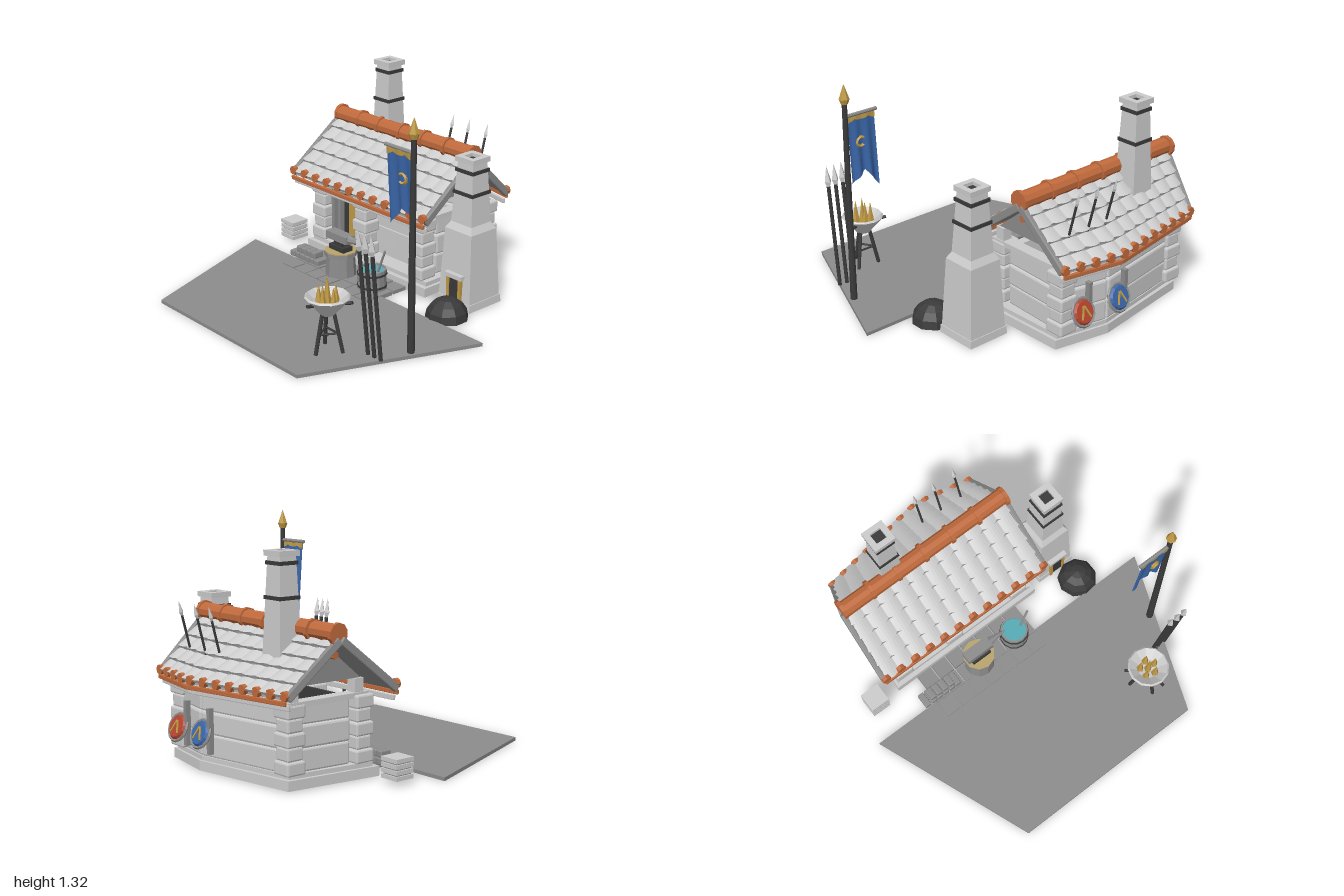
import * as THREE from 'three';
import { RoundedBoxGeometry } from 'three/addons/geometries/RoundedBoxGeometry.js';

const mat = (color) => new THREE.MeshStandardMaterial({ color, flatShading: true, side: THREE.DoubleSide });
const grey = mat(0xcccccc), stone = mat(0x8c8c8c), dark = mat(0x3a3a3a), orange = mat(0xc06a3c);
const gold = mat(0xc09a45), blue = mat(0x3a66a8), red = mat(0xb5452f), teal = mat(0x55aab5), tan = mat(0xb8a46c);
const V = (x, y, z) => new THREE.Vector3(x, y, z);
const lerp = THREE.MathUtils.lerp;

export function createModel() {
  const model = new THREE.Group();
  const add = (name, geo, m, x = 0, y = 0, z = 0, rx = 0, ry = 0, rz = 0) => {
    const mesh = new THREE.Mesh(geo, m);
    mesh.name = name;
    mesh.position.set(x, y, z);
    mesh.rotation.set(rx, ry, rz);
    model.add(mesh);
    return mesh;
  };
  const box = (name, m, x, y, z, w, h, d, ry = 0) => add(name, new THREE.BoxGeometry(w, h, d), m, x, y, z, 0, ry);
  const cyl = (name, m, x, y, z, r1, r0, h, n = 10) => add(name, new THREE.CylinderGeometry(r1, r0, h, n), m, x, y, z);
  // straight member between two points, square-cut or round
  const beam = (name, m, a, b, w, h) => {
    const mesh = add(name, new RoundedBoxGeometry(w, h, a.distanceTo(b), 1, Math.min(w, h) * 0.2), m);
    mesh.position.copy(a).lerp(b, 0.5);
    mesh.lookAt(b);
    return mesh;
  };
  const rod = (name, m, a, b, r0, r1 = r0, n = 8) => {
    const geo = new THREE.CylinderGeometry(r1, r0, a.distanceTo(b), n).rotateX(Math.PI / 2);
    const mesh = add(name, geo, m);
    mesh.position.copy(a).lerp(b, 0.5);
    mesh.lookAt(b);
    return mesh;
  };
  // plan outline (x, z) raised from y0 to y1
  const slab = (name, m, pts, y0, y1) => {
    const shape = new THREE.Shape(pts.map(([x, z]) => new THREE.Vector2(x, -z)));
    add(name, new THREE.ExtrudeGeometry(shape, { depth: y1 - y0, bevelEnabled: false }), m, 0, y0, 0, -Math.PI / 2);
  };
  // surface from a rule
  const grid = (fn, nu, nv) => {
    const pos = [], idx = [];
    for (let j = 0; j <= nv; j++) for (let i = 0; i <= nu; i++) pos.push(...fn(i / nu, j / nv).toArray());
    for (let j = 0; j < nv; j++) for (let i = 0; i < nu; i++) {
      const a = j * (nu + 1) + i, c = a + nu + 1;
      idx.push(a, c, a + 1, a + 1, c, c + 1);
    }
    const g = new THREE.BufferGeometry();
    g.setAttribute('position', new THREE.Float32BufferAttribute(pos, 3));
    g.setIndex(idx);
    g.computeVertexNormals();
    return g;
  };

  // Ground and paving
  slab('ground', stone, [[-1, -0.02], [1, -0.02], [0.615, 0.96], [-0.62, 0.96]], 0, 0.02);
  for (let i = 0; i < 7; i++) for (let j = 0; j < 3; j++)
    box('pavingStone', stone, -0.52 + i * 0.11, 0.013, -0.17 + j * 0.11, 0.1, 0.022 + ((i + j) % 3) * 0.003, 0.1);

  // Foundation and log walls
  slab('foundation', grey, [[-0.71, -0.22], [0.35, -0.22], [0.34, -0.82], [0, -0.885], [-0.65, -0.79]], 0.005, 0.06);
  slab('foundationStep', grey, [[-0.69, -0.25], [0.33, -0.25], [0.32, -0.81], [0, -0.87], [-0.63, -0.77]], 0.06, 0.085);
  const corners = [[0.25, -0.38], [0.27, -0.79], [0, -0.845], [-0.6, -0.75], [-0.63, -0.38]];
  for (let i = 0; i < 4; i++) for (let k = 0; k < 3; k++) {
    const [a, b] = [corners[i], corners[i + 1]], y = 0.147 + k * 0.125;
    beam('wallLog', grey, V(a[0], y, a[1]), V(b[0], y, b[1]), 0.05 + (k % 2) * 0.012, 0.123);
  }
  for (let k = 0; k < 4; k++) box('frontLog', grey, 0.0, 0.13 + k * 0.09, -0.38, 0.5, 0.086, 0.04 + (k % 2) * 0.012);
  box('doorway', dark, -0.42, 0.27, -0.4, 0.38, 0.37, 0.02);
  box('door', gold, -0.44, 0.25, -0.385, 0.1, 0.3, 0.02);
  for (const x of [-0.54, -0.48]) box('doorPost', stone, x, 0.25, -0.3, 0.025, 0.36, 0.03);
  // stacked block pillars at the porch and the corners
  for (const [x, z] of [[-0.63, -0.3], [-0.25, -0.3], [0.24, -0.3], [-0.61, -0.75], [0.27, -0.79]])
    for (let k = 0; k < 5; k++) {
      const w = k % 2 ? 0.1 : 0.12;
      add('pillarBlock', new RoundedBoxGeometry(w, 0.073, w, 1, 0.01), grey, x, 0.12 + k * 0.074, z);
    }
  for (const [x, s] of [[-0.63, 1], [0.26, 1]]) {
    box('sidePlate', grey, x, 0.45, -0.54, 0.07, 0.03, 0.56 * s);
    const gable = new THREE.Shape([[-0.78, 0.54], [-0.3, 0.54], [-0.57, 0.76]].map((p) => new THREE.Vector2(-p[0], p[1])));
    add('gablePanel', new THREE.ExtrudeGeometry(gable, { depth: 0.03, bevelEnabled: false }), stone, x - 0.015, 0, 0, 0, Math.PI / 2);
    for (const z of [-0.32, -0.76]) box('gablePost', grey, x, 0.49, z, 0.06, 0.1, 0.06);
  }
  rod('ridgePurlin', orange, V(-0.76, 0.7, -0.57), V(0.36, 0.7, -0.57), 0.022, 0.022, 6);

  // Tiled roof: the rear eave is bent in plan
  const ridge = (u) => V(lerp(-0.785, 0.375, u), 0.79, lerp(-0.56, -0.575, u));
  const frontEave = (u) => V(lerp(-0.795, 0.38, u), 0.49, -0.175);
  const backEave = (u) => {
    const x = lerp(-0.7, 0.36, u);
    return V(x, 0.5, x < 0 ? lerp(-0.84, -0.96, (x + 0.7) / 0.7) : lerp(-0.96, -0.89, x / 0.36));
  };
  const COLS = 11, ROWS = 5;
  for (const [name, eave, sz] of [['front', frontEave, 1], ['back', backEave, -1]]) {
    const n = V(0, 0.78, 0.62 * sz);
    const at = (u, v, h) => ridge(u).lerp(eave(u), v).addScaledVector(n, h);
    for (let r = 0; r < ROWS; r++) {
      add(name + 'RoofTiles', grid((u, t) => {
        const arch = Math.abs(Math.sin(u * COLS * Math.PI));
        const k = Math.round(t * 2);
        const v = k === 0 ? r / ROWS : (r + 1) / ROWS - 0.03 * (1 - arch);
        return at(u, v, [0.002, 0.016, -0.004][k] + arch * 0.01);
      }, COLS * 6, 2), grey);
    }
    add(name + 'RoofDeck', grid((u, v) => at(u, v, -0.014), 50, 1), stone);
    for (const u of [0, 1]) beam(name + 'BargeBoard', stone, at(u, 0.02, -0.005), at(u, 1, -0.005), 0.03, 0.045);
    // eave boards and round tile ends
    const stops = sz > 0 ? [0, 1] : [0, 0.66, 1];
    for (let i = 0; i < stops.length - 1; i++) {
      const p = eave(stops[i]), q = eave(stops[i + 1]);
      for (const [y, m, h, out] of [[-0.025, orange, 0.025, 0.005], [-0.05, grey, 0.03, -0.02]])
        beam(name + 'EaveBoard', m, p.clone().add(V(0, y, out * sz)), q.clone().add(V(0, y, out * sz)), 0.018, h);
    }
    for (let i = 0; i <= COLS; i++) {
      const p = eave(lerp(0.01, 0.99, i / COLS));
      add(name + 'EaveTileEnd', new THREE.CylinderGeometry(0.028, 0.028, 0.026, 8), orange, p.x, 0.512, p.z, Math.PI / 2);
    }
  }
  rod('ridgeTile', orange, V(-0.785, 0.81, -0.562), V(0.385, 0.81, -0.575), 0.05, 0.05, 10);
  for (const x of [-0.775, -0.58, -0.4, -0.21, -0.02, 0.17, 0.375])
    rod('ridgeBand', orange, V(x - 0.011, 0.81, -0.57), V(x + 0.011, 0.81, -0.57), 0.06, 0.06, 10);

  // Chimneys: tapering square stages, dark bands and a hollow cap
  const stage = (name, m, x, z, y0, y1, w0, w1) => {
    const g = new THREE.CylinderGeometry(w1 * Math.SQRT1_2, w0 * Math.SQRT1_2, y1 - y0, 4).rotateY(Math.PI / 4);
    add(name, g, m, x, (y0 + y1) / 2, z);
  };
  const cap = (x, z, y, w, h) => {
    const s = new THREE.Shape([[-1, -1], [1, -1], [1, 1], [-1, 1]].map((p) => new THREE.Vector2(p[0] * w / 2, p[1] * w / 2)));
    s.holes.push(new THREE.Path([[-1, -1], [-1, 1], [1, 1], [1, -1]].map((p) => new THREE.Vector2(p[0] * w / 4, p[1] * w / 4))));
    add('chimneyCap', new THREE.ExtrudeGeometry(s, { depth: h, bevelEnabled: false }), grey, x, y, z, -Math.PI / 2);
    box('flue', dark, x, y + 0.005, z, w * 0.5, 0.01, w * 0.5);
  };
  stage('mainChimney', grey, -0.42, -0.645, 0.62, 1.19, 0.15, 0.105);
  for (const [y, w] of [[0.96, 0.135], [1.14, 0.122]]) stage('chimneyBand', dark, -0.42, -0.645, y, y + 0.02, w, w);
  cap(-0.42, -0.645, 1.185, 0.135, 0.03);
  stage('forgeBase', grey, 0.545, -0.385, 0.005, 0.05, 0.262, 0.255);
  stage('forgeBody', grey, 0.545, -0.385, 0.05, 0.46, 0.245, 0.205);
  stage('forgeShoulder', grey, 0.545, -0.385, 0.46, 0.5, 0.205, 0.16);
  stage('forgeChimney', grey, 0.545, -0.385, 0.5, 0.865, 0.16, 0.115);
  for (const [y, w] of [[0.67, 0.152], [0.8, 0.138]]) stage('chimneyBand', dark, 0.545, -0.385, y, y + 0.02, w, w);
  cap(0.545, -0.385, 0.86, 0.14, 0.03);
  box('forgeMouth', dark, 0.55, 0.1, -0.263, 0.08, 0.17, 0.02);
  for (const x of [0.505, 0.595]) box('forgeMouthJamb', gold, x, 0.1, -0.258, 0.018, 0.18, 0.025);
  box('forgeMouthLintel', grey, 0.55, 0.2, -0.257, 0.13, 0.025, 0.035);
  const coal = add('coalHeap', new THREE.SphereGeometry(0.125, 9, 4, 0, Math.PI * 2, 0, Math.PI / 2), dark, 0.62, 0.005, -0.13);
  coal.scale.y = 0.98;

  // Slatted crate
  box('crate', stone, -0.865, 0.085, -0.235, 0.1, 0.115, 0.105);
  for (let k = 0; k < 4; k++) box('crateSlat', grey, -0.865, 0.04 + k * 0.031, -0.235, 0.12, 0.023, 0.122);

  // Stacked ingots
  for (let row = 0; row < 2; row++) for (let i = 0; i < 6 - row * 2; i++)
    add('ingot', new RoundedBoxGeometry(0.04, 0.038, 0.09 - row * 0.02, 1, 0.006), stone, -0.625 + row * 0.05 + i * 0.045, 0.04 + row * 0.038, -0.065);

  // Anvil on its stump
  cyl('stump', stone, -0.21, 0.09, -0.06, 0.085, 0.095, 0.15);
  cyl('stumpRim', stone, -0.21, 0.165, -0.06, 0.1, 0.1, 0.025);
  cyl('stumpTop', tan, -0.21, 0.18, -0.06, 0.098, 0.098, 0.006);
  box('anvilFoot', dark, -0.21, 0.197, -0.06, 0.13, 0.03, 0.075);
  box('anvilWaist', dark, -0.21, 0.225, -0.06, 0.075, 0.04, 0.045);
  box('anvilTop', stone, -0.215, 0.265, -0.06, 0.18, 0.045, 0.07);
  rod('anvilHorn', stone, V(-0.13, 0.266, -0.06), V(-0.01, 0.272, -0.06), 0.028, 0.004);

  // Quenching tub
  const tub = [[0, 0.02], [0.088, 0.02], [0.085, 0.145], [0.074, 0.145], [0.074, 0.1]].map((p) => new THREE.Vector2(...p));
  add('tub', new THREE.LatheGeometry(tub, 14), stone, 0.065, 0, -0.065);
  for (const y of [0.045, 0.12]) cyl('tubHoop', dark, 0.065, y, -0.065, 0.09, 0.09, 0.012, 14);
  cyl('water', teal, 0.065, 0.135, -0.065, 0.076, 0.076, 0.006, 14);
  rod('tongs', stone, V(0.1, 0.1, -0.065), V(0.17, 0.285, -0.07), 0.007);

  // Brazier with flames
  const bowl = [[0, 0.23], [0.04, 0.235], [0.125, 0.335], [0.115, 0.345], [0.06, 0.3], [0, 0.29]].map((p) => new THREE.Vector2(...p));
  add('brazierBowl', new THREE.LatheGeometry(bowl, 12), grey, 0.51, 0, 0.66);
  for (let i = 0; i < 3; i++) {
    const a = i * Math.PI * 2 / 3 + Math.PI / 2, c = Math.cos(a), s = Math.sin(a);
    rod('brazierLeg', dark, V(0.51 + c * 0.085, 0.02, 0.66 + s * 0.085), V(0.51 + c * 0.035, 0.25, 0.66 + s * 0.035), 0.011);
    rod('brazierHandle', dark, V(0.51 + c * 0.1, 0.31, 0.66 + s * 0.1), V(0.51 + c * 0.14, 0.318, 0.66 + s * 0.14), 0.01);
    const b = a + Math.PI * 2 / 3;
    rod('brazierBrace', dark, V(0.51 + c * 0.06, 0.13, 0.66 + s * 0.06), V(0.51 + Math.cos(b) * 0.06, 0.13, 0.66 + Math.sin(b) * 0.06), 0.006);
  }
  for (let i = 0; i < 6; i++) {
    const a = i * 1.257, r = i < 5 ? 0.048 : 0, h = i < 5 ? 0.11 + (i % 2) * 0.02 : 0.16;
    cyl('flame', gold, 0.51 + r * Math.cos(a), 0.29 + h / 2, 0.66 + r * Math.sin(a), 0.001, 0.024, h, 5);
  }

  // Spears: leaning on the ground and stuck in the rear roof
  const spear = (a, b, r, head) => {
    const d = b.clone().sub(a).normalize(), neck = b.clone().addScaledVector(d, -head);
    rod('spearShaft', dark, a, neck, r);
    rod('spearHeadBase', grey, neck, neck.clone().addScaledVector(d, head * 0.25), r, r * 2, 4);
    rod('spearHead', grey, neck.clone().addScaledVector(d, head * 0.25), b, r * 2, 0.001, 4);
  };
  for (const x of [0.685, 0.735, 0.785]) spear(V(x, 0.02, 0.53), V(x, 0.75, 0.605), 0.011, 0.12);
  for (const x of [-0.06, 0.075, 0.22]) spear(V(x, 0.6, -0.775), V(x, 0.9, -0.855), 0.007, 0.08);

  // Banner on its pole
  cyl('bannerPole', dark, 0.82, 0.62, 0.345, 0.015, 0.021, 1.2);
  cyl('poleCollar', gold, 0.82, 1.225, 0.345, 0.03, 0.02, 0.03, 8);
  cyl('poleFinial', gold, 0.82, 1.28, 0.345, 0.001, 0.03, 0.085, 6);
  rod('bannerBar', stone, V(0.61, 1.135, 0.345), V(0.82, 1.135, 0.345), 0.011);
  const tail = (u) => 0.69 + 0.05 * u + 0.09 * (1 - Math.abs(2 * u - 1));
  const cloth = (u, v) => V(lerp(0.625, 0.805, u), lerp(1.13, tail(u), v), 0.348 - 0.03 * v + 0.007 * Math.sin(u * 15) * (0.3 + v));
  add('banner', grid(cloth, 20, 8), blue);
  for (const o of [0.005, -0.005]) {
    add('bannerTrim', grid((u, v) => cloth(u, v * (0.06 + 0.035 * Math.abs(Math.cos(u * Math.PI * 2)))).add(V(0, 0, o)), 20, 1), gold);
    add('bannerEmblem', new THREE.TorusGeometry(0.026, 0.008, 4, 14, 4.7), gold, 0.735, 0.975, 0.334 + o * 1.8, 0, 0, -2.3);
  }

  // Shields hung on the rear wall, tilted upward
  for (const [x, y, z, m] of [[0.2, 0.21, -0.885, red], [-0.05, 0.22, -0.91, blue]]) {
    const shield = new THREE.Group();
    shield.name = 'shield';
    const part = (name, geo, mt, px, py, pz, rx = 0, rz = 0) => {
      const q = new THREE.Mesh(geo, mt);
      q.name = name;
      q.position.set(px, py, pz);
      q.rotation.set(rx, 0, rz);
      shield.add(q);
    };
    part('shieldFace', new THREE.CylinderGeometry(0.06, 0.078, 0.022, 14), m, 0, 0, 0.005, Math.PI / 2);
    part('shieldRim', new THREE.TorusGeometry(0.078, 0.009, 5, 14), stone, 0, 0, 0);
    for (const s of [-1, 1]) part('shieldMark', new THREE.BoxGeometry(0.01, 0.075, 0.008), gold, s * 0.017, 0, 0.018, 0, s * 0.4);
    shield.position.set(x, y, z);
    shield.lookAt(x, y + 0.4, z - 1);
    model.add(shield);
    box('shieldHanger', stone, x - 0.06, 0.24, z + 0.02, 0.025, 0.25, 0.03);
  }
  return model;
}
